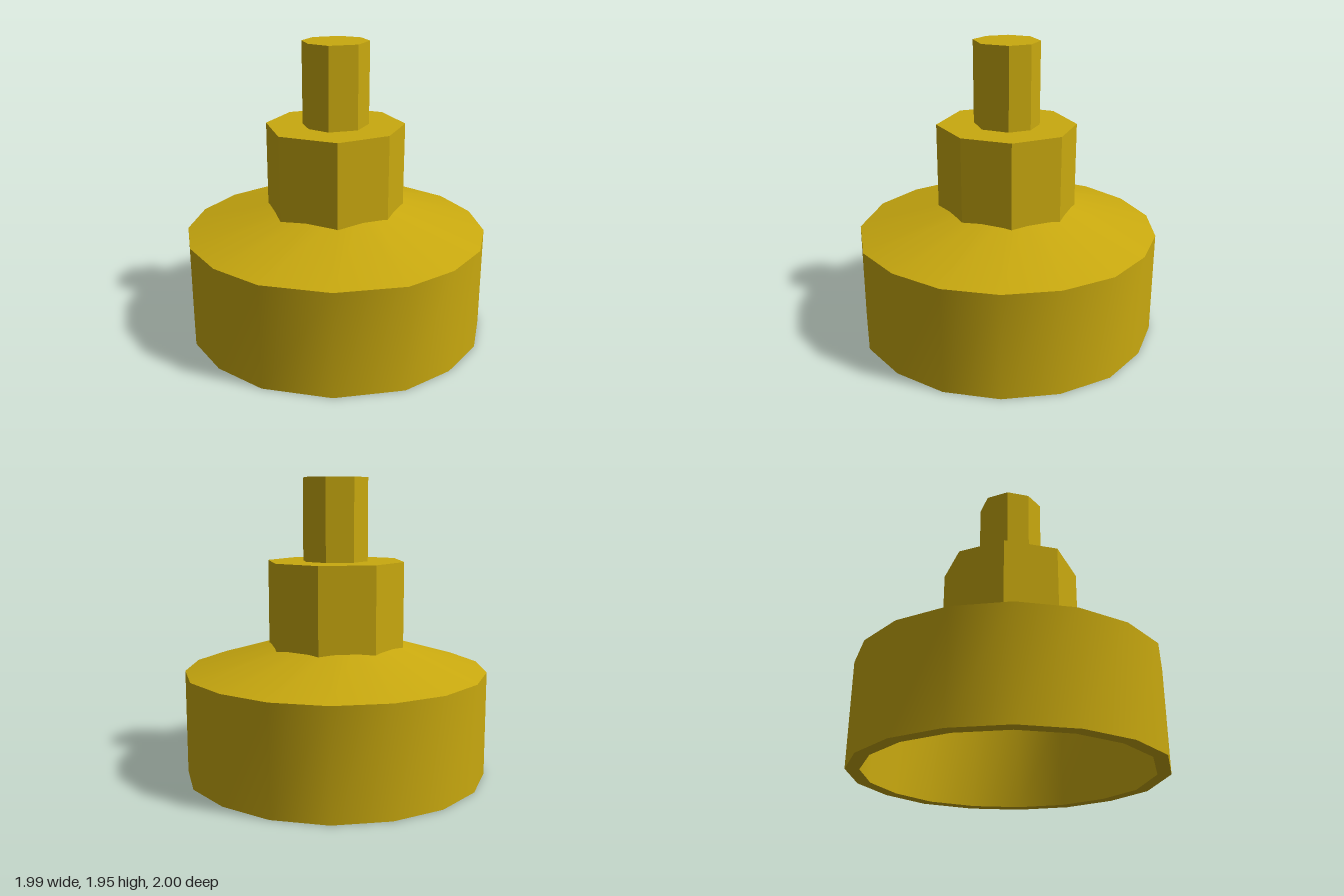
import * as THREE from 'three';

// Outlines seen from above as [x, z] corners, slightly irregular
const RIM = [[-0.09, -1], [0.27, -0.97], [0.59, -0.81], [0.83, -0.55], [0.98, -0.23], [0.99, 0.13],
  [0.88, 0.47], [0.66, 0.75], [0.35, 0.93], [0, 1], [-0.43, 0.89], [-0.78, 0.62], [-0.95, 0.3],
  [-1, -0.05], [-0.92, -0.4], [-0.72, -0.7], [-0.43, -0.91]];
const COLLAR = [[-0.15, -0.44], [0.21, -0.41], [0.43, -0.17], [0.42, 0.17], [0.18, 0.4],
  [-0.18, 0.415], [-0.45, 0.13], [-0.4, -0.23]];
const STEM = [[-0.07, -0.21], [0.11, -0.19], [0.21, -0.07], [0.2, 0.08], [0.06, 0.2],
  [-0.13, 0.17], [-0.21, 0.04], [-0.19, -0.11]];

const material = new THREE.MeshStandardMaterial({ color: 0xc9a90f });
const flatMaterial = material.clone();
flatMaterial.flatShading = true;

// One band of faces between two scaled copies of an outline, [scale, y] each
function band(name, outline, [s0, y0], [s1, y1], mat = material) {
  const n = outline.length, positions = [], index = [];
  for (const [s, y] of [[s0, y0], [s1, y1]])
    for (const [x, z] of outline) positions.push(x * s, y, z * s);
  for (let i = 0; i < n; i++) {
    const j = (i + 1) % n;
    index.push(i, n + i, j, j, n + i, n + j);
  }
  const geometry = new THREE.BufferGeometry();
  geometry.setAttribute('position', new THREE.Float32BufferAttribute(positions, 3));
  geometry.setIndex(index);
  geometry.computeVertexNormals();
  const mesh = new THREE.Mesh(geometry, mat);
  mesh.name = name;
  return mesh;
}

// A chain of bands with a crease at every ring
function part(name, outline, profile, mat) {
  const group = new THREE.Group();
  group.name = name;
  for (let i = 0; i < profile.length - 1; i++)
    group.add(band(`${name}Band${i + 1}`, outline, profile[i], profile[i + 1], mat));
  return group;
}

export function createModel() {
  const model = new THREE.Group();
  model.name = 'steppedCap';
  // Hollow base: ceiling, inner wall, bottom rim, outer wall, sloped shoulder
  model.add(part('base', RIM, [[0, 0.8], [0.4, 0.8], [0.913, 0.65], [0.913, 0], [1, 0], [1, 0.69], [0.36, 0.88]]));
  // Eight-sided collar and stem with flat tops
  model.add(part('collar', COLLAR, [[1, 0.84], [1, 1.41], [0, 1.41]], flatMaterial));
  model.add(part('stem', STEM, [[1, 1.4], [1, 1.95], [0, 1.95]], flatMaterial));
  return model;
}
